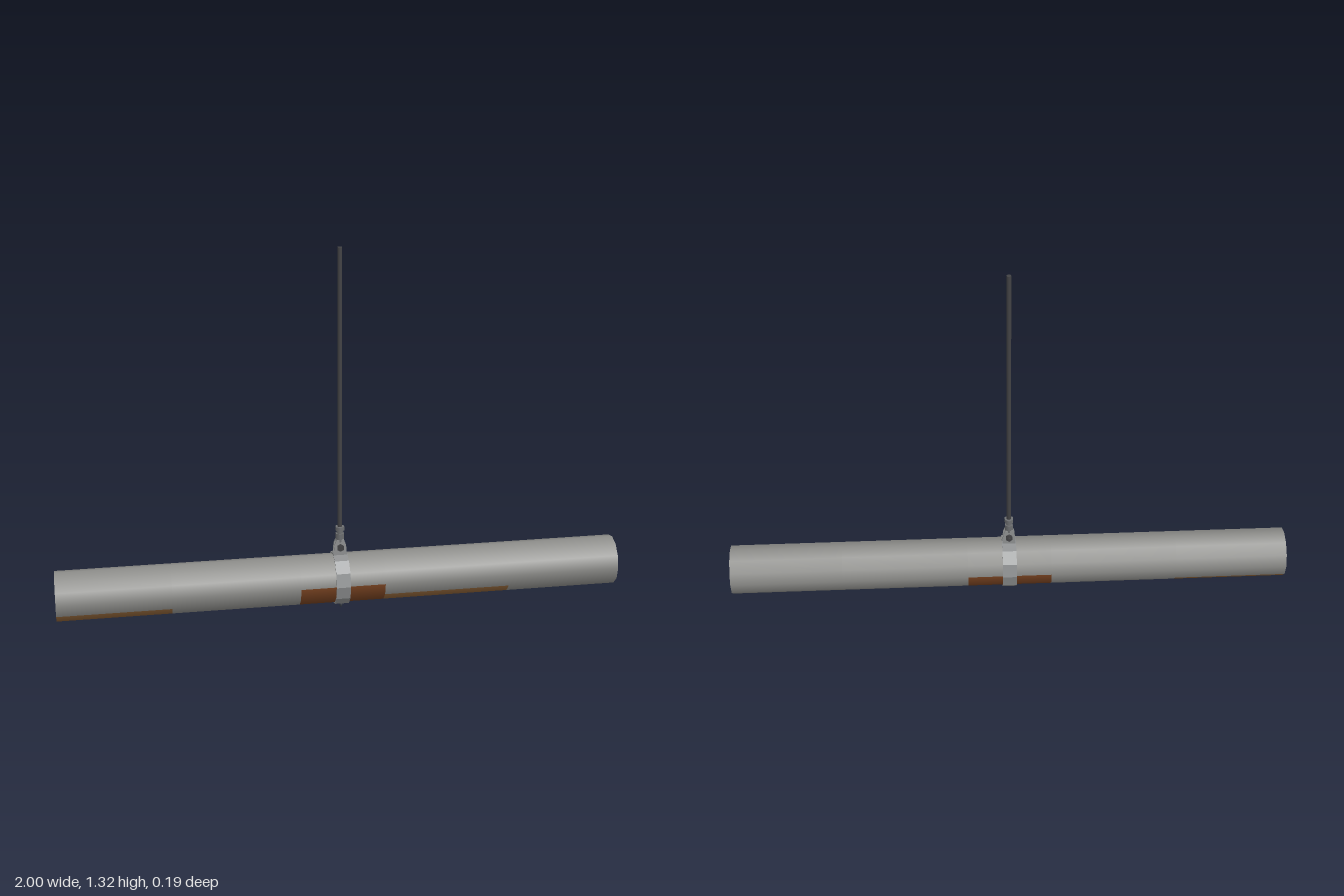
import * as THREE from 'three';

export function createModel() {
  const root = new THREE.Group();
  const mat = (name, color, side = THREE.FrontSide) => {
    const m = new THREE.MeshStandardMaterial({ color, side });
    m.name = name;
    return m;
  };
  const pipeGrey = mat('pipe grey', 0x8c8c89, THREE.DoubleSide);
  const rust = mat('light rust', 0x8a6036, THREE.DoubleSide);
  const darkRust = mat('dark rust', 0x74401f, THREE.DoubleSide);
  const steel = mat('clamp steel', 0x8f9192);
  const nutGrey = mat('nut grey', 0x6e7072);
  const rodDark = mat('rod dark', 0x434345);
  const dropDark = mat('drip dark', 0x343a44);

  const add = (name, geo, material, x = 0, y = 0, z = 0, parent = root) => {
    const m = new THREE.Mesh(geo, material);
    m.name = name;
    m.position.set(x, y, z);
    parent.add(m);
    return m;
  };

  // Pipe: open 12-sided tube along x, split into rusty and clean faces.
  // Angles are degrees from the bottom, positive towards the front.
  const CY = 0.12, R = 0.088;
  const pipe = new THREE.Group();
  pipe.name = 'pipe';
  root.add(pipe);
  const wall = (name, x0, x1, a0, a1, material) => {
    const rad = Math.PI / 180;
    const g = new THREE.CylinderGeometry(R, R, x1 - x0, Math.round((a1 - a0) / 30), 1, true,
      (90 - a1) * rad, (a1 - a0) * rad);
    g.rotateZ(-Math.PI / 2);
    add(name, g, material, (x0 + x1) / 2, CY, 0, pipe);
  };
  const sections = [
    [-1, -0.6, -60, 60, rust],
    [-0.6, -0.15, -30, 0, rust],
    [-0.15, 0.15, -90, 90, darkRust],
    [0.15, 0.6, 0, 60, rust],
    [0.6, 1, -30, 0, rust],
  ];
  for (const [x0, x1, a0, a1, material] of sections) {
    wall('rustPatch', x0, x1, a0, a1, material);
    wall('pipeWall', x0, x1, a1, a0 + 360, pipeGrey);
  }

  // Clamp ring: 12-sided band around the pipe
  const clamp = new THREE.Group();
  clamp.name = 'clamp';
  root.add(clamp);
  const polygon = (r) => Array.from({ length: 12 }, (_, i) =>
    new THREE.Vector2(r * Math.cos(i * Math.PI / 6), r * Math.sin(i * Math.PI / 6)));
  const ring = new THREE.Shape(polygon(0.0945));
  ring.holes.push(new THREE.Path(polygon(0.089)));
  const ringGeo = new THREE.ExtrudeGeometry(ring, { depth: 0.05, bevelEnabled: false });
  ringGeo.translate(0, 0, -0.025).rotateY(Math.PI / 2);
  add('clampRing', ringGeo, steel, 0, CY, 0, clamp);

  // Clamp ears: tapered plates in front of and behind the rod
  const ear = new THREE.Shape();
  ear.moveTo(-0.024, 0.208);
  ear.lineTo(0.024, 0.208);
  ear.lineTo(0.02, 0.25);
  ear.lineTo(0.013, 0.268);
  ear.lineTo(-0.013, 0.268);
  ear.lineTo(-0.02, 0.25);
  for (const z of [-0.014, 0.008]) {
    add('clampEar', new THREE.ExtrudeGeometry(ear, { depth: 0.006, bevelEnabled: false }), steel, 0, 0, z, clamp);
  }

  // Cross bolt with head and nut
  const alongZ = (r, len, n) => new THREE.CylinderGeometry(r, r, len, n).rotateX(Math.PI / 2);
  add('boltShank', alongZ(0.007, 0.056, 8), rodDark, 0, 0.24, -0.003, clamp);
  add('boltHead', alongZ(0.013, 0.009, 6), rodDark, 0, 0.24, 0.0185, clamp);
  add('boltNut', alongZ(0.013, 0.009, 6), rodDark, 0, 0.24, -0.0185, clamp);

  // Rod socket and lock nut
  add('rodSocket', new THREE.CylinderGeometry(0.016, 0.016, 0.03, 6), nutGrey, 0, 0.275, 0);
  add('socketNeck', new THREE.CylinderGeometry(0.011, 0.011, 0.016, 8), nutGrey, 0, 0.295, 0);
  add('lockNut', new THREE.CylinderGeometry(0.017, 0.017, 0.014, 6), nutGrey, 0, 0.308, 0);

  // Hanger rod
  add('hangerRod', new THREE.CylinderGeometry(0.008, 0.008, 1.07, 8), rodDark, 0, 0.785, 0);

  // Drip below the clamp
  const drip = [[0, 0], [0.003, 0.004], [0.006, 0.012], [0.005, 0.018], [0.002, 0.024], [0.001, 0.03]]
    .map(([x, y]) => new THREE.Vector2(x, y));
  add('drip', new THREE.LatheGeometry(drip, 8), dropDark, 0.004, 0, 0);

  return root;
}
